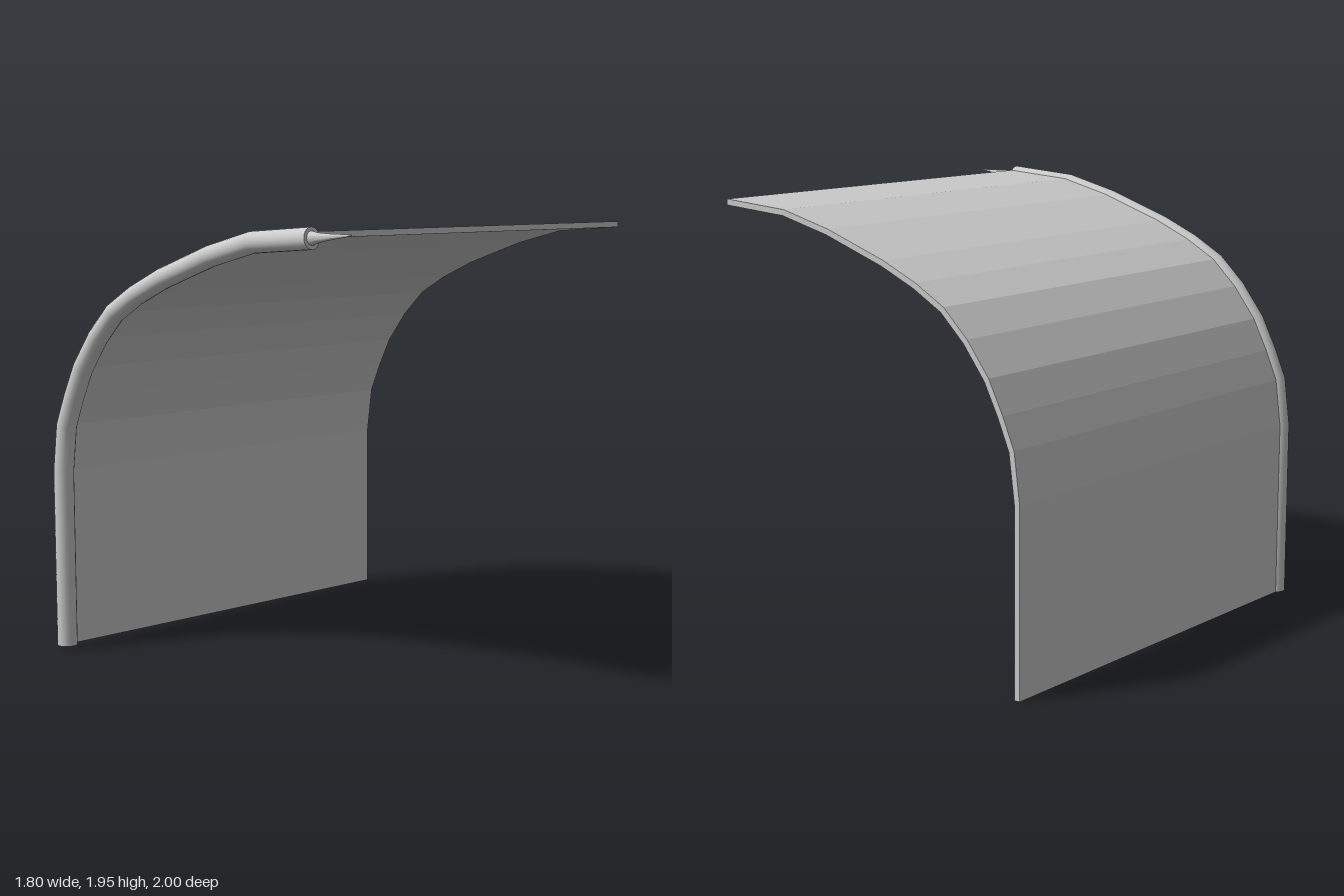
import * as THREE from 'three';
import { toCreasedNormals } from 'three/addons/utils/BufferGeometryUtils.js';

// Centre line of the bent pipe, from the foot up to the free end
const path = [
  [-0.855, 0.017], [-0.855, 0.815], [-0.828, 1.025], [-0.774, 1.155],
  [-0.706, 1.293], [-0.602, 1.433], [-0.487, 1.547], [-0.347, 1.63],
  [-0.18, 1.707], [0.117, 1.814], [0.362, 1.879], [0.69, 1.906],
].map(([x, y]) => new THREE.Vector2(x, y));
const last = path.length - 1;
const pipeZ = 0.953;
const pipeRadius = 0.045;

// Outward normal of each path point, lengthened so bends are mitred
const direction = (i) => path[i + 1].clone().sub(path[i]).normalize();
const mitres = path.map((p, i) => {
  const a = direction(Math.max(i - 1, 0));
  const b = direction(Math.min(i, last - 1));
  const t = a.clone().add(b).normalize();
  return new THREE.Vector2(-t.y, t.x).divideScalar(t.dot(a));
});
const offsetPath = (d) => path.map((p, i) => p.clone().addScaledVector(mitres[i], d));

// Capped cylinder whose rows of vertices are laid along the path
function pipeGeometry() {
  const geometry = new THREE.CylinderGeometry(pipeRadius, pipeRadius, 1, 20, last);
  const pos = geometry.attributes.position;
  for (let i = 0; i < pos.count; i++) {
    const row = Math.round((pos.getY(i) + 0.5) * last);
    const p = path[row].clone().addScaledVector(mitres[row], -pos.getX(i));
    pos.setXYZ(i, p.x, p.y, pos.getZ(i) + pipeZ);
  }
  return toCreasedNormals(geometry, 0.6);
}

// Thin strip along the outside of the path, extruded back and slightly skewed
function sheetGeometry() {
  const outline = [...offsetPath(0.026), ...offsetPath(0).reverse()];
  const depth = pipeZ + 1;
  const geometry = new THREE.ExtrudeGeometry(new THREE.Shape(outline), { depth, bevelEnabled: false });
  const pos = geometry.attributes.position;
  for (let i = 0; i < pos.count; i++) {
    const back = depth - pos.getZ(i);
    pos.setXYZ(i, pos.getX(i) + 0.0345 * back, pos.getY(i) - 0.0085 * back, pipeZ - back);
  }
  geometry.computeVertexNormals();
  return geometry;
}

export function createModel() {
  const group = new THREE.Group();
  const smooth = new THREE.MeshStandardMaterial({ color: 0xcccccc });
  const flat = new THREE.MeshStandardMaterial({ color: 0xcccccc, flatShading: true });
  const add = (name, geometry, material) => {
    const mesh = new THREE.Mesh(geometry, material);
    mesh.name = name;
    group.add(mesh);
    return mesh;
  };

  add('curvedSheet', sheetGeometry(), flat);
  add('bentPipe', pipeGeometry(), smooth);

  // Slender spike with a flared root on the free end of the pipe
  const profile = [[0, -0.01], [0.029, -0.01], [0.029, 0], [0.02, 0.035], [0.012, 0.1], [0.003, 0.21], [0, 0.212]];
  const spike = add('spike', toCreasedNormals(
    new THREE.LatheGeometry(profile.map(([r, y]) => new THREE.Vector2(r, y)), 16), 0.6), smooth);
  const end = direction(last - 1);
  spike.position.set(path[last].x, path[last].y, pipeZ);
  spike.rotation.z = Math.atan2(-end.x, end.y);

  return group;
}
